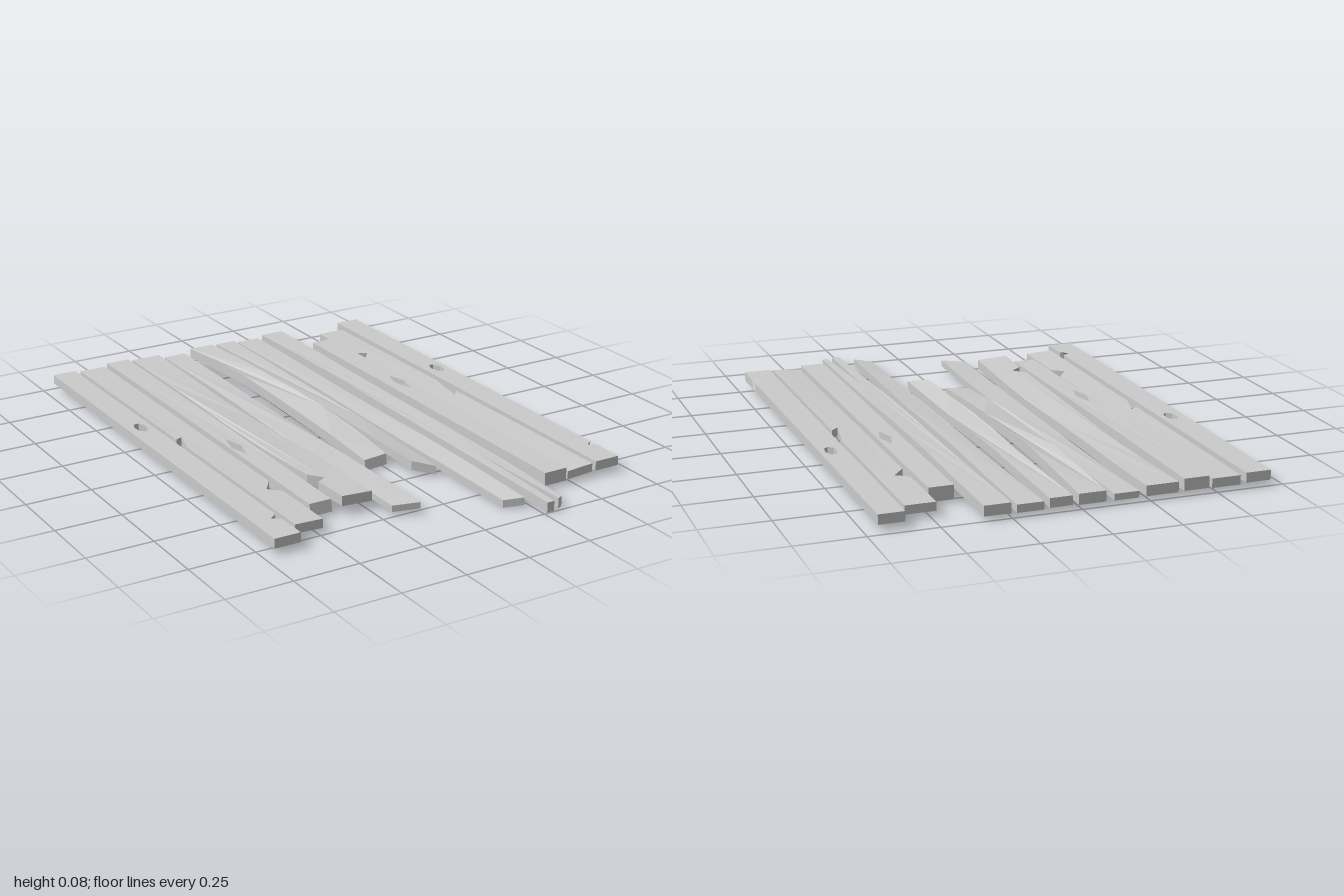
import * as THREE from 'three';

const material = new THREE.MeshStandardMaterial({ color: 0xcccccc, flatShading: true });
const SEGMENTS = 6;

// A plank lying along z. x, width: at the back end; grow: extra width at the front; skew: extra length
// of the right edge; lift, arch, roll: front rise, middle rise and sideways slope; wave: edge wobble;
// slant: lean of the front end face; notch, hole, split: damage.
function plank(name, { x, width, back = -1, front, grow = 0, skew = 0, y = 0.045, thick = 0.036,
  lift = 0, arch = 0, roll = 0, wave = 0, slant = 0, notches = [], hole, split }) {
  const along = (z) => (z - back) / (front - back);
  const edgeX = (side, z) => {
    const t = along(z);
    return x + side * (width + grow * t) / 2 + wave * Math.sin(t * Math.PI * 3 + side);
  };

  // One long edge from back to front, with its notches cut in
  const edge = (side) => {
    const length = front - back + (side > 0 ? skew : 0);
    const cuts = notches.filter((n) => n.side === side);
    const points = [];
    for (let i = 0; i <= SEGMENTS; i++) {
      const z = back + length * i / SEGMENTS;
      if (cuts.every((n) => Math.abs(z - n.z) > n.half)) points.push({ z, order: z, x: edgeX(side, z) });
    }
    for (const { z, half, depth, shift = 0, chip } of cuts) {
      points.push({ z: z - half, order: z - half, x: edgeX(side, z - half) });
      points.push({ z: z + shift, order: z, x: edgeX(side, z) - side * depth, chip });
      points.push({ z: z + half, order: z + half, x: edgeX(side, z + half) });
    }
    return points.sort((a, b) => a.order - b.order);
  };

  const left = edge(-1), right = edge(1);
  const toVector = (p) => new THREE.Vector2(p.x, -p.z);
  // Lengthwise crack open at the front end
  const crack = split ? [{ x: split.x + split.gap, z: front - 0.01 }, { x: split.x, z: split.z },
    { x: split.x - split.gap / 2, z: front }] : [];
  const shape = new THREE.Shape([...right, ...crack, ...left.reverse()].map(toVector));
  if (hole) shape.holes.push(new THREE.Path(hole.map(toVector)));

  const geo = new THREE.ExtrudeGeometry(shape, { depth: 1, bevelEnabled: false, steps: 1 });
  geo.rotateX(-Math.PI / 2);
  const chips = [...left, ...right].filter((p) => p.chip);
  const p = geo.attributes.position;
  for (let i = 0; i < p.count; i++) {
    let px = p.getX(i), z = p.getZ(i);
    const half = p.getY(i) - 0.5;
    const t = along(z);
    const height = y + lift * t * t + arch * Math.sin(Math.PI * Math.min(t, 1)) + roll * t * (px - x);
    // Chips fade out towards the underside
    if (half < 0 && chips.some((c) => Math.hypot(c.x - px, c.z - z) < 1e-4)) px = edgeX(Math.sign(px), z);
    if (half < 0 && t > 0.999) z += slant;
    p.setXYZ(i, px, height + half * thick, z);
  }
  geo.computeVertexNormals();
  const mesh = new THREE.Mesh(geo, material);
  mesh.name = name;
  return mesh;
}

// Hole outline with the given number of corners
const ring = (x, z, rx, rz, corners) => Array.from({ length: corners }, (_, i) => {
  const a = (i / corners) * Math.PI * 2;
  return { x: x + rx * Math.sin(a), z: z + rz * Math.cos(a) };
});

export function createModel() {
  const group = new THREE.Group();
  group.name = 'brokenPlankFloor';
  const add = (name, data) => group.add(plank(name, data));

  // Outer planks with a knot hole and a chipped edge
  add('rightOuterPlank', { x: -0.656, width: 0.094, grow: 0.006, front: 0.8,
    hole: ring(-0.651, -0.31, 0.023, 0.046, 7),
    notches: [{ side: 1, z: 0.652, half: 0.023, depth: 0.03, chip: true }] });
  add('leftOuterPlank', { x: 0.656, width: 0.094, grow: 0.008, back: -0.965, front: 0.83,
    hole: ring(0.662, -0.275, 0.023, 0.046, 7),
    notches: [{ side: 1, z: 0.688, half: 0.02, depth: 0.028, chip: true }] });

  // Planks with a notch on one edge and a splinter on the other
  add('rightNotchedPlank', { x: -0.533, width: 0.108, front: 0.73, y: 0.04, thick: 0.034, roll: -0.04,
    notches: [{ side: 1, z: 0.41, half: 0.05, depth: 0.043, shift: 0.01 },
      { side: -1, z: -0.1, half: 0.045, depth: 0.028, shift: -0.06 }] });
  add('leftNotchedPlank', { x: 0.534, width: 0.11, back: -0.895, front: 0.83, y: 0.04, thick: 0.032, roll: 0.06,
    notches: [{ side: -1, z: -0.575, half: 0.045, depth: 0.047, shift: -0.015 },
      { side: 1, z: -0.1, half: 0.07, depth: 0.03, shift: 0.1 }] });

  // Planks with a diamond hole
  add('rightDiamondPlank', { x: -0.421, width: 0.094, grow: -0.008, front: 0.615, y: 0.047, thick: 0.044,
    lift: -0.008, slant: 0.01, hole: ring(-0.437, 0.045, 0.021, 0.085, 4) });
  add('leftDiamondPlank', { x: 0.425, width: 0.09, grow: 0.004, back: -0.786, front: 0.83, y: 0.043, thick: 0.05,
    hole: ring(0.439, -0.21, 0.022, 0.08, 4) });

  // Wide plank with a raised front
  add('widePlank', { x: -0.293, width: 0.112, grow: 0.018, front: 0.65, y: 0.042, thick: 0.038,
    lift: 0.014, arch: -0.01, roll: -0.06, wave: 0.005,
    notches: [{ side: -1, z: 0.45, half: 0.04, depth: 0.042, shift: 0.01 }] });

  // Bent planks broken off near the middle, some with slanted ends
  add('thinPlank', { x: -0.161, width: 0.084, grow: 0.016, front: 0.74, skew: 0.035, y: 0.034, thick: 0.024,
    arch: -0.005, roll: 0.06, wave: 0.004 });
  add('archedPlank', { x: -0.036, width: 0.094, grow: 0.004, front: 0.36, y: 0.042, thick: 0.039,
    lift: -0.01, arch: 0.029, roll: 0.08, wave: 0.004, slant: 0.008 });
  add('shortPlank', { x: 0.077, width: 0.076, front: 0.48, skew: 0.055, y: 0.042, thick: 0.034,
    lift: -0.005, arch: 0.006, roll: -0.2, wave: 0.004 });
  add('longThinPlank', { x: 0.186, width: 0.09, grow: -0.016, front: 0.89, skew: 0.035, y: 0.036, thick: 0.029,
    lift: -0.008, roll: 0.14, wave: 0.004 });

  // Longest plank, split lengthwise at the front
  add('splitPlank', { x: 0.303, width: 0.09, grow: -0.008, front: 0.995, skew: -0.02, y: 0.042, thick: 0.038,
    lift: -0.018, arch: 0.002, wave: 0.004, split: { x: 0.303, z: 0.535, gap: 0.017 } });
  return group;
}
